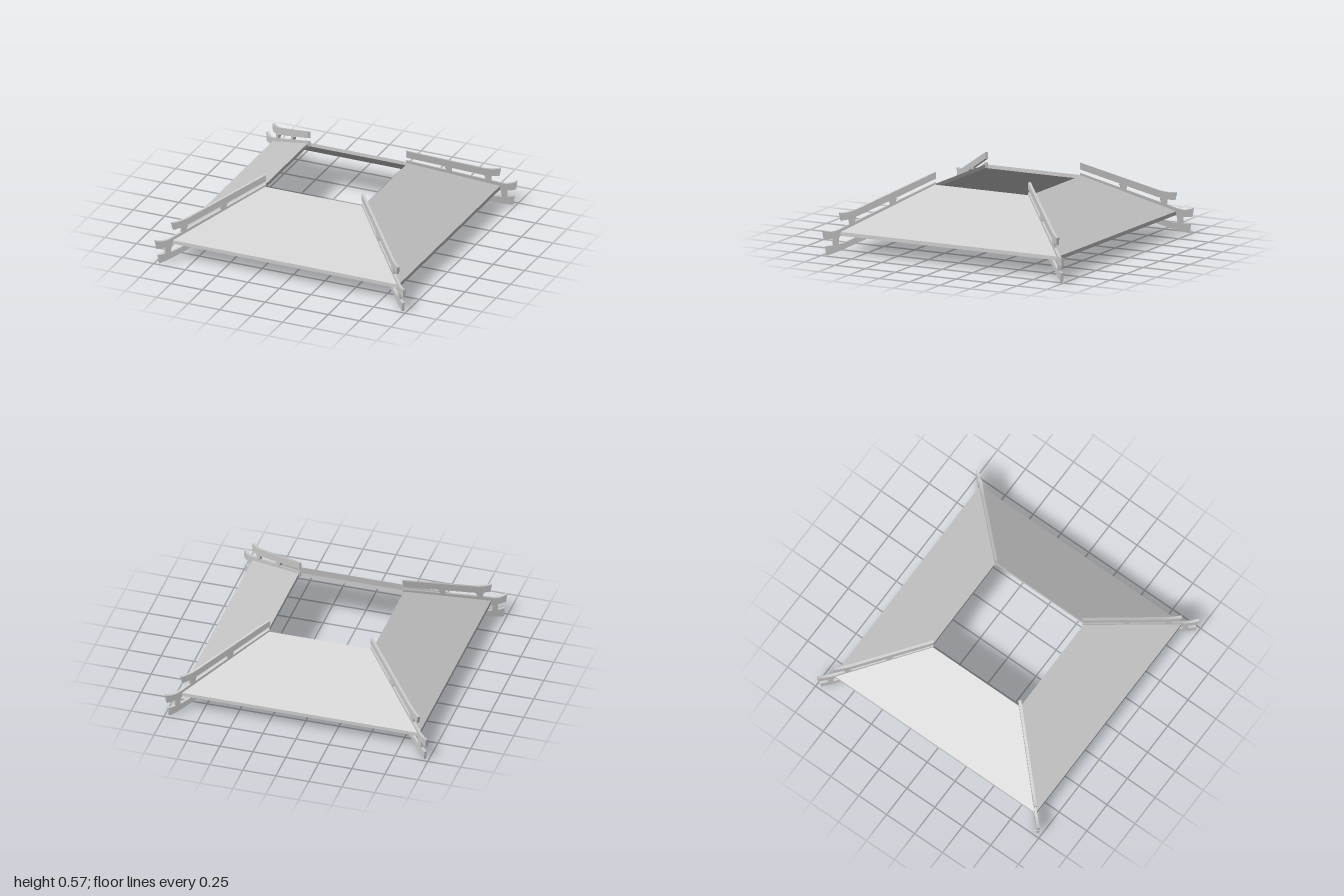
import * as THREE from 'three';

const THICK = 0.02;
const material = new THREE.MeshStandardMaterial({ color: 0xcccccc, side: THREE.DoubleSide });

// Extrudes a profile (u = distance along x, y = height) stretched onto the corner diagonal
function diagonalPlate(name, shape) {
  const geo = new THREE.ExtrudeGeometry(shape, { depth: THICK, bevelEnabled: false, curveSegments: 8 });
  geo.translate(0, 0, -THICK / 2);
  geo.scale(Math.SQRT2, 1, 1);
  const mesh = new THREE.Mesh(geo, material);
  mesh.name = name;
  return mesh;
}

// Straight rail whose outer tip sweeps up: top and bottom = [start, bend, control, tip]
function rail(name, top, bottom) {
  const s = new THREE.Shape();
  s.moveTo(...bottom[0]);
  s.lineTo(...bottom[1]);
  s.quadraticCurveTo(...bottom[2], ...bottom[3]);
  s.lineTo(...top[3]);
  s.quadraticCurveTo(...top[2], ...top[1]);
  s.lineTo(...top[0]);
  s.closePath();
  return diagonalPlate(name, s);
}

// Short post flared at its upper end
function post(name, u, y0, y1) {
  const s = new THREE.Shape([[-0.014, y0], [0.014, y0], [0.016, y1 - 0.02], [0.022, y1], [-0.022, y1], [-0.016, y1 - 0.02]]
    .map(([x, y]) => new THREE.Vector2(u + x, y)));
  return diagonalPlate(name, s);
}

function cornerRidge() {
  const g = new THREE.Group();
  g.add(
    rail('upperRail',
      [[0.387, 0.57], [0.80, 0.335], [0.86, 0.302], [0.904, 0.308]],
      [[0.387, 0.52], [0.78, 0.293], [0.84, 0.258], [0.894, 0.25]]),
    rail('hipRail',
      [[0.387, 0.494], [0.89, 0.197], [0.94, 0.158], [0.993, 0.184]],
      [[0.387, 0.452], [0.86, 0.166], [0.91, 0.113], [0.985, 0.118]]),
    rail('lowerRail',
      [[0.74, 0.168], [0.84, 0.108], [0.90, 0.07], [0.977, 0.067]],
      [[0.74, 0.115], [0.86, 0.05], [0.92, 0.015], [0.972, 0]].map(([x, y]) => [x, y])),
    post('innerPost', 0.618, 0.34, 0.394),
    post('outerPost', 0.835, 0.21, 0.272),
    post('lowerPost', 0.922, 0.05, 0.14),
  );
  return g;
}

export function createModel() {
  const model = new THREE.Group();
  model.name = 'roofSkirt';

  // Four mitred sloping panels around a square opening
  const profile = [[0.905, 0.14], [0.905, 0.168], [0.398, 0.476], [0.398, 0.448], [0.905, 0.14]]
    .map(([r, y]) => new THREE.Vector2(r * Math.SQRT2, y));
  const roofGeo = new THREE.LatheGeometry(profile, 4, Math.PI / 4).toNonIndexed();
  roofGeo.computeVertexNormals();
  const roof = new THREE.Mesh(roofGeo, material);
  roof.name = 'roofPanels';
  model.add(roof);

  // Railed ridge on each corner
  for (let i = 0; i < 4; i++) {
    const ridge = cornerRidge();
    ridge.name = 'cornerRidge' + (i + 1);
    ridge.rotation.y = Math.PI / 4 + i * Math.PI / 2;
    model.add(ridge);
  }
  return model;
}
